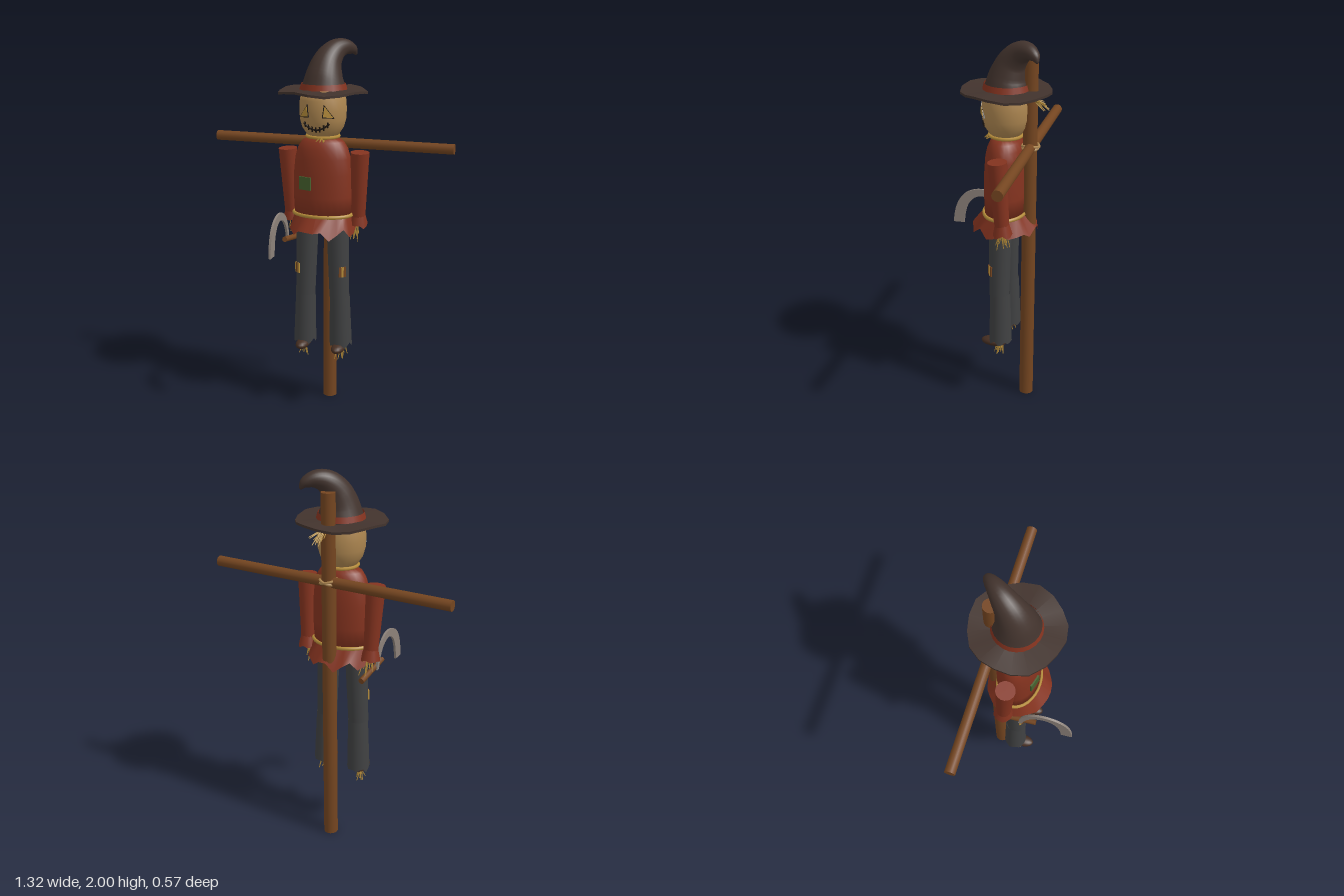
import * as THREE from 'three';

const flat = (name, color, side = THREE.FrontSide) => {
  const m = new THREE.MeshStandardMaterial({ color, side });
  m.name = name;
  return m;
};
const V = (x, y, z) => new THREE.Vector3(x, y, z);

export function createModel() {
  const wood = flat('wood', 0x744520), red = flat('red cloth', 0x84331f, THREE.DoubleSide);
  const felt = flat('hat felt', 0x42332d), sack = flat('sackcloth', 0xad8650);
  const denim = flat('trouser cloth', 0x404142, THREE.DoubleSide), straw = flat('straw', 0xb58c3a);
  const green = flat('green patch', 0x46612d), steel = flat('steel', 0x8c8179);
  const leather = flat('boot leather', 0x452e22), black = flat('black', 0x1c1510);

  const model = new THREE.Group();
  model.name = 'scarecrow';
  let seed = 7;
  const rnd = () => (seed = (seed * 16807) % 2147483647) / 2147483647 * 2 - 1;

  const add = (name, geo, mat, parent = model) => {
    const m = new THREE.Mesh(geo, mat);
    m.name = name;
    parent.add(m);
    return m;
  };
  // Places a mesh whose axis is y so that its top is at a and its bottom at b
  const span = (m, a, b) => {
    m.position.copy(a).add(b).multiplyScalar(0.5);
    m.quaternion.setFromUnitVectors(V(0, 1, 0), a.clone().sub(b).normalize());
    return m;
  };
  const rod = (name, a, b, ra, rb, mat, sides = 16, parent = model) =>
    span(add(name, new THREE.CylinderGeometry(ra, rb, a.distanceTo(b), sides), mat, parent), a, b);
  // Open cloth sleeve with a torn lower edge
  const ragged = (rt, rb, h, n, jag) => {
    const g = new THREE.CylinderGeometry(rt, rb, h, n, 1, true);
    const p = g.attributes.position;
    for (let i = n + 1; i < p.count; i++) {
      const j = (i - n - 1) % n;
      p.setY(i, p.getY(i) + jag * (Math.sin(j * 2.1) + 0.5 * Math.cos(j * 4.7)));
    }
    return g;
  };
  // Loose bunch of straws fanning out from a point
  const bunch = (name, c, dir, n, len, spread) => {
    const g = new THREE.Group();
    g.name = name;
    model.add(g);
    for (let i = 0; i < n; i++) {
      const d = dir.clone().add(V(rnd(), rnd(), rnd()).multiplyScalar(spread)).normalize();
      const a = c.clone().add(V(rnd(), 0, rnd()).multiplyScalar(0.015));
      rod('strawStalk', a, a.clone().addScaledVector(d, len * (0.85 + 0.15 * rnd())), 0.005, 0.002, straw, 5, g);
    }
  };
  const lathe = (pts) => new THREE.LatheGeometry(pts.map(([r, y]) => new THREE.Vector2(r, y)), 24);
  const plate = (pts, depth) => new THREE.ExtrudeGeometry(
    new THREE.Shape(pts.map(([x, y]) => new THREE.Vector2(x, y))), { depth, bevelEnabled: false });

  // Wooden cross and its lashing
  rod('post', V(0, 1.9, -0.16), V(0, 0, -0.16), 0.036, 0.038, wood);
  rod('crossbar', V(-0.66, 1.457, -0.165), V(0.66, 1.457, -0.165), 0.027, 0.027, wood);
  for (const s of [-1, 1]) {
    const ring = add('lashing', new THREE.TorusGeometry(0.043, 0.007, 6, 20), sack);
    ring.position.set(0, 1.46, -0.162);
    ring.rotation.set(Math.PI / 2, s * 0.25, 0);
  }

  // Head
  add('head', lathe([[0, 1.48], [0.055, 1.495], [0.085, 1.525], [0.108, 1.56], [0.119, 1.6], [0.122, 1.65],
    [0.119, 1.7], [0.105, 1.745], [0, 1.76]]), sack).position.z = -0.035;
  const neck = add('neckRope', new THREE.TorusGeometry(0.083, 0.009, 6, 24), straw);
  neck.rotation.x = Math.PI / 2;
  neck.position.set(0, 1.512, -0.035);
  bunch('neckStraw', V(0.02, 1.51, 0.045), V(0.1, -1, 0.5), 4, 0.03, 0.6);

  // Face
  for (const s of [-1, 1]) {
    const eye = new THREE.Group();
    eye.name = s > 0 ? 'leftEye' : 'rightEye';
    eye.position.set(0, 1.64, -0.035);
    eye.rotation.y = s * 0.5;
    model.add(eye);
    const tri = (k) => [[-0.022 * k, -0.018 * k], [0.034 * k, -0.022 * k], [-0.014 * k, 0.04 * k]]
      .map(([x, y]) => [x * s, y]);
    add('eyeRim', plate(tri(1.15), 0.008), black, eye).position.z = 0.1145;
    add('eyeGlow', plate(tri(0.95), 0.008), straw, eye).position.z = 0.1165;
  }
  const lip = (x) => {
    const y = 1.556 + 7 * x * x, r = 0.108 + (y - 1.556) * 0.3;
    return V(x, y, -0.035 + Math.sqrt(r * r - x * x));
  };
  const grin = [];
  for (let i = 0; i <= 10; i++) grin.push(lip(-0.068 + i * 0.0136));
  add('mouth', new THREE.TubeGeometry(new THREE.CatmullRomCurve3(grin), 24, 0.005, 6), black);
  for (let i = 0; i < 7; i++) {
    const p = lip(-0.06 + i * 0.02);
    rod('mouthStitch', p.clone().add(V(0, 0.015, 0.003)), p.clone().add(V(0, -0.013, -0.003)), 0.004, 0.004, black, 6);
  }

  // Hat brim with a wavy edge
  const brim = new THREE.CylinderGeometry(0.228, 0.228, 0.012, 18);
  const bp = brim.attributes.position;
  for (let i = 0; i < bp.count; i++) {
    const x = bp.getX(i), z = bp.getZ(i), r = Math.hypot(x, z), a = Math.atan2(z, x);
    if (r < 0.1) continue;
    const k = 1 + 0.02 * Math.sin(5 * a + 1);
    bp.setXYZ(i, x * k, bp.getY(i) + 0.008 * Math.sin(4 * a) - 0.004, z * k);
  }
  brim.computeVertexNormals();
  add('hatBrim', brim, felt).position.set(0, 1.744, -0.04);

  // Hat crown: rings swept along a curling centre line
  const spine = [[0, 1.745, -0.04, 0.117], [0.004, 1.82, -0.047, 0.095], [0.014, 1.89, -0.073, 0.074],
    [0.04, 1.94, -0.12, 0.056], [0.074, 1.953, -0.165, 0.041], [0.104, 1.938, -0.2, 0.026], [0.118, 1.915, -0.215, 0.008]];
  const curve = new THREE.CatmullRomCurve3(spine.map(([x, y, z]) => V(x, y, z)));
  const steps = 30, sides = 24, pos = [], idx = [], across = V(0.83, 0, 0.55).normalize();
  for (let i = 0; i <= steps; i++) {
    const u = i / steps, f = Math.min(u * 6, 5.999), k = Math.floor(f);
    const r = THREE.MathUtils.lerp(spine[k][3], spine[k + 1][3], f - k);
    const c = curve.getPoint(u), n = curve.getTangent(u).cross(across).normalize();
    for (let j = 0; j < sides; j++) {
      const a = j / sides * Math.PI * 2;
      const p = c.clone().addScaledVector(across, r * Math.cos(a)).addScaledVector(n, r * Math.sin(a));
      pos.push(p.x, p.y, p.z);
      if (i === steps) continue;
      const q = i * sides + j, w = i * sides + (j + 1) % sides;
      idx.push(q, w, q + sides, w, w + sides, q + sides);
    }
  }
  const end = curve.getPoint(1).addScaledVector(curve.getTangent(1), 0.006);
  pos.push(end.x, end.y, end.z);
  for (let j = 0; j < sides; j++) idx.push(steps * sides + j, steps * sides + (j + 1) % sides, (steps + 1) * sides);
  const crown = new THREE.BufferGeometry();
  crown.setAttribute('position', new THREE.Float32BufferAttribute(pos, 3));
  crown.setIndex(idx);
  crown.computeVertexNormals();
  add('hatCrown', crown, felt);
  add('hatBand', new THREE.CylinderGeometry(0.114, 0.122, 0.03, 24, 1, true), red).position.set(0, 1.765, -0.04);
  bunch('hairStraw', V(0.02, 1.72, -0.17), V(0, -0.45, -1), 12, 0.1, 0.45);

  // Shirt body and flared, torn skirt
  const torso = lathe([[0, 1.09], [0.152, 1.09], [0.158, 1.2], [0.156, 1.32], [0.148, 1.4], [0.134, 1.45],
    [0.112, 1.485], [0.08, 1.505], [0, 1.51]]);
  torso.scale(1, 1, 0.68);
  add('shirt', torso, red).position.z = -0.035;
  const skirt = ragged(0.154, 0.178, 0.085, 26, 0.02);
  const sp = skirt.attributes.position;
  for (let i = 0; i < sp.count; i++) sp.setZ(i, sp.getZ(i) * (i < 27 ? 0.7 : 0.95));
  skirt.computeVertexNormals();
  add('shirtSkirt', skirt, red).position.set(0, 1.06, -0.035);
  const belt = new THREE.TorusGeometry(0.157, 0.01, 8, 32);
  belt.rotateX(Math.PI / 2).scale(1, 1, 0.7);
  add('ropeBelt', belt, straw).position.set(0, 1.102, -0.035);
  const patch = add('shirtPatch', new THREE.BoxGeometry(0.07, 0.068, 0.009), green);
  patch.position.set(-0.064, 1.275, 0.064);
  patch.rotation.y = -0.29;

  // Arms, cuffs, straw hands, legs and boots
  for (const s of [-1, 1]) {
    rod('sleeve', V(s * 0.198, 1.435, -0.042), V(s * 0.186, 1.09, -0.064), 0.049, 0.037, red, 18);
    span(add('cuff', ragged(0.036, 0.05, 0.06, 14, 0.008), red), V(s * 0.187, 1.105, -0.064), V(s * 0.185, 1.045, -0.068));
    bunch('strawHand', V(s * 0.175, 1.07, -0.066), V(-s * 0.05, -1, 0), 11, 0.115, 0.3);

    rod('thigh', V(s * 0.083, 1.07, -0.03), V(s * 0.096, 0.65, -0.028), 0.06, 0.053, denim, 18);
    span(add('trouserLeg', ragged(0.053, 0.061, 0.285, 20, 0.01), denim), V(s * 0.097, 0.662, -0.033), V(s * 0.103, 0.377, -0.037));
    const knee = add('trouserPatch', new THREE.BoxGeometry(0.038, 0.055, 0.008), s < 0 ? straw : wood);
    knee.position.set(s * 0.126, 0.8, 0.014);
    knee.rotation.y = s * 0.65;
    const trim = add('patchStitch', new THREE.BoxGeometry(0.012, 0.055, 0.008), s < 0 ? wood : straw);
    trim.position.set(s * 0.127, 0.8, 0.0155);
    trim.rotation.y = s * 0.65;

    const boot = add('boot', new THREE.SphereGeometry(1, 18, 12), leather);
    boot.scale.set(0.036, 0.026, 0.07);
    boot.position.set(s * 0.102, 0.362, 0);
    rod('ankle', V(s * 0.102, 0.46, -0.035), V(s * 0.102, 0.355, -0.033), 0.033, 0.033, leather, 14);
    bunch('footStraw', V(s * 0.106, 0.375, -0.036), V(0, -1, 0), 9, 0.095, 0.4);
  }

  // Sickle in the right hand
  rod('sickleHandle', V(-0.165, 0.975, 0.1), V(-0.165, 0.94, -0.125), 0.014, 0.016, wood, 12);
  const blade = new THREE.Shape();
  blade.moveTo(0.01, 0.95);
  blade.bezierCurveTo(0.02, 1.06, 0.07, 1.125, 0.145, 1.127);
  blade.bezierCurveTo(0.24, 1.125, 0.295, 1.06, 0.3, 0.925);
  blade.lineTo(0.24, 0.925);
  blade.bezierCurveTo(0.237, 1.02, 0.205, 1.083, 0.145, 1.088);
  blade.bezierCurveTo(0.09, 1.085, 0.045, 1.04, 0.03, 0.95);
  const bg = new THREE.ExtrudeGeometry(blade, { depth: 0.012, bevelEnabled: false, curveSegments: 14 });
  bg.rotateY(-Math.PI / 2 + 0.04);
  add('sickleBlade', bg, steel).position.x = -0.174;

  return model;
}
